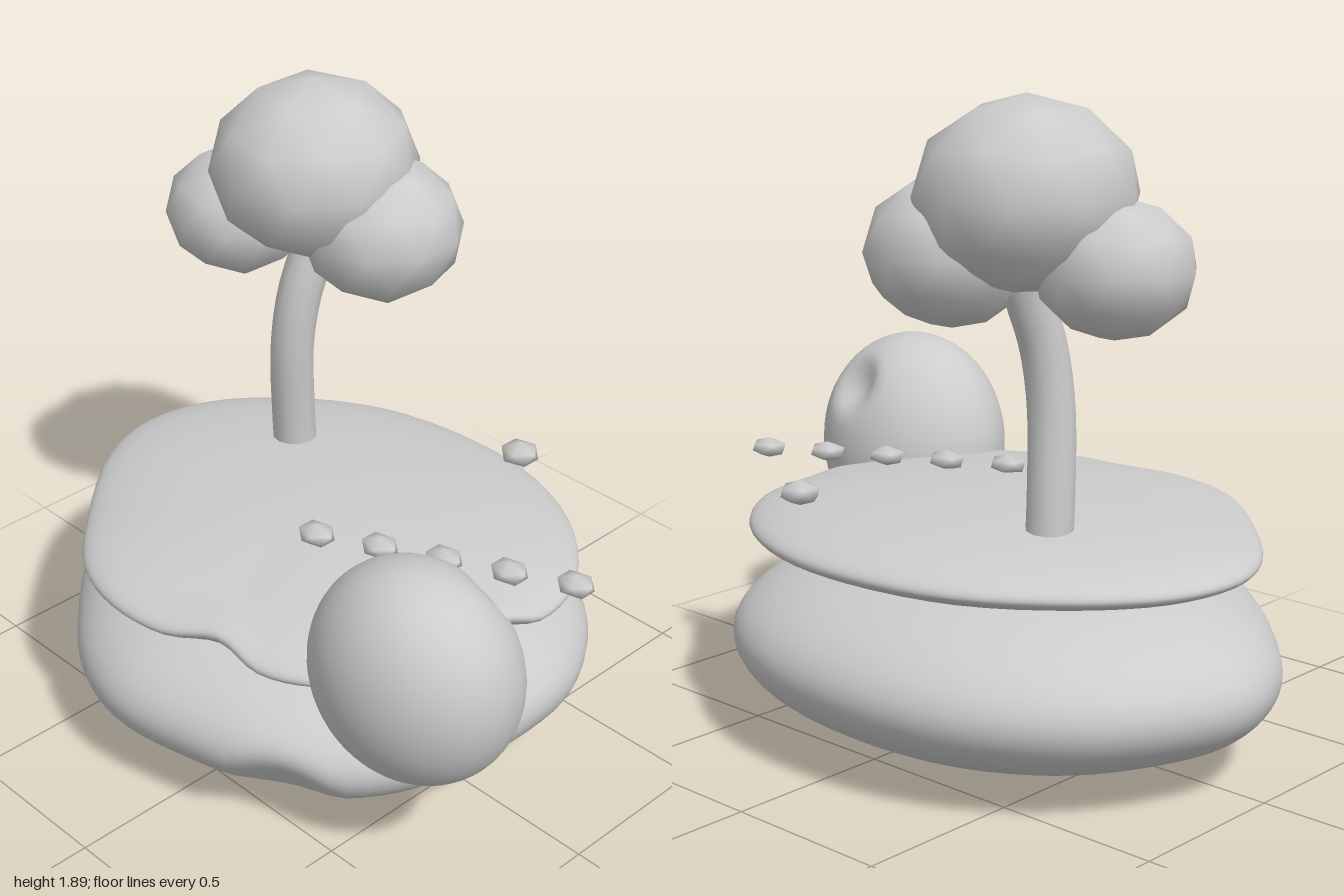
import * as THREE from 'three';
import { mergeVertices } from 'three/addons/utils/BufferGeometryUtils.js';

const stone = new THREE.MeshStandardMaterial({ color: 0xcccccc });
stone.name = 'pale grey';

function add(group, geometry, name, x = 0, y = 0, z = 0) {
  const mesh = new THREE.Mesh(geometry, stone);
  mesh.name = name;
  mesh.position.set(x, y, z);
  group.add(mesh);
  return mesh;
}

// Joins seams so that the shading is smooth all round.
function smooth(geometry) {
  geometry.deleteAttribute('normal');
  geometry.deleteAttribute('uv');
  const merged = mergeVertices(geometry, 1e-4);
  merged.computeVertexNormals();
  return merged;
}

// Pushes the surface in around a point: [x, y, z, radius, push x, push y, push z].
function dent(geometry, dents) {
  const pos = geometry.attributes.position;
  const p = new THREE.Vector3();
  for (let i = 0; i < pos.count; i++) {
    p.fromBufferAttribute(pos, i);
    for (const [x, y, z, r, dx, dy, dz] of dents) {
      const d = Math.hypot(p.x - x, p.y - y, p.z - z) / r;
      if (d < 1) p.addScaledVector(new THREE.Vector3(dx, dy, dz), (1 - d * d) ** 2);
    }
    pos.setXYZ(i, p.x, p.y, p.z);
  }
  return geometry;
}

// Flattened ellipsoid whose rim follows an outline of [x, z, rim lift].
// Outline order: left tip, front, right, back.
function slab(outline, centre, up, down, fullness) {
  const rim = new THREE.CatmullRomCurve3(
    outline.map(([x, z, lift = 0]) => new THREE.Vector3(x, lift, z)), true);
  const g = new THREE.SphereGeometry(1, 80, 40);
  const { position: pos, uv } = g.attributes;
  const p = new THREE.Vector3();
  for (let i = 0; i < pos.count; i++) {
    const c = pos.getY(i);
    const s = Math.sqrt(Math.max(0, 1 - c * c)) ** fullness;
    rim.getPoint(((uv.getX(i) % 1) + 1) % 1, p);
    pos.setXYZ(i,
      centre.x + (p.x - centre.x) * s,
      centre.y + c * (c > 0 ? up : down) + p.y * s ** 8,
      centre.z + (p.z - centre.z) * s);
  }
  return g;
}

// Icosahedral ball with a vertex at each pole.
function ball(detail, rx, ry, rz) {
  const g = new THREE.IcosahedronGeometry(1, detail);
  g.rotateZ(Math.atan(2 / (1 + Math.sqrt(5))));
  g.rotateY(Math.PI);
  g.scale(rx, ry, rz);
  return smooth(g);
}

export function createModel() {
  const model = new THREE.Group();
  model.name = 'floatingIsland';

  // Rounded rock underneath
  const base = slab([
    [-1, -0.06], [-0.95, 0.13], [-0.83, 0.3], [-0.6, 0.53], [-0.38, 0.69], [-0.12, 0.76],
    [0.17, 0.72], [0.4, 0.62], [0.58, 0.47], [0.7, 0.25], [0.755, 0], [0.71, -0.28],
    [0.53, -0.56], [0.23, -0.73], [-0.2, -0.77], [-0.53, -0.69], [-0.8, -0.5], [-0.96, -0.23],
  ], new THREE.Vector3(-0.13, 0.295, 0), 0.28, 0.29, 0.9);
  dent(base, [
    [0.38, 0.2, 0.6, 0.2, -0.02, 0.02, -0.04],
    [0.1, 0.15, 0.65, 0.4, 0, 0, -0.03],
    [0.68, 0.2, 0, 0.35, -0.03, 0, 0],
  ]);
  add(model, smooth(base), 'baseRock');

  // Lens-shaped ground with two lifted notches in its rim
  const ground = slab([
    [-0.9, 0], [-0.83, 0.2], [-0.6, 0.47], [-0.4, 0.64], [-0.2, 0.7], [0, 0.68],
    [0.16, 0.615, 0.03], [0.32, 0.61], [0.47, 0.54], [0.61, 0.36], [0.69, 0.12],
    [0.665, -0.02, 0.03], [0.7, -0.14], [0.66, -0.32], [0.48, -0.53], [0.22, -0.66],
    [-0.07, -0.69], [-0.42, -0.62], [-0.7, -0.43], [-0.86, -0.22],
  ], new THREE.Vector3(-0.09, 0.61, 0), 0.112, 0.1, 1);
  add(model, smooth(ground), 'ground');

  // Large egg-shaped boulder, leaning a little, with small dimples
  const boulder = new THREE.SphereGeometry(1, 48, 32);
  boulder.scale(0.32, 0.343, 0.268);
  const shear = new THREE.Matrix4().set(
    1, 0.05, 0, 0,
    0, 1, 0, 0,
    0, 0.07, 1, 0,
    0, 0, 0, 1);
  boulder.applyMatrix4(shear);
  dent(boulder, [
    [0.08, 0.2, -0.19, 0.12, -0.01, -0.03, 0.04],
    [0.01, -0.32, 0.06, 0.08, 0, 0.02, -0.015],
  ]);
  add(model, smooth(boulder), 'boulder', 0.68, 0.68, 0.357);

  // Tree: bent trunk and three leafy balls
  const tree = new THREE.Group();
  tree.name = 'tree';
  model.add(tree);
  const trunkPath = new THREE.CatmullRomCurve3([
    [-0.403, 0.66, -0.21], [-0.4, 0.8, -0.2], [-0.386, 1.05, -0.186],
    [-0.372, 1.22, -0.205], [-0.358, 1.36, -0.25], [-0.355, 1.48, -0.29],
  ].map((p) => new THREE.Vector3(...p)));
  add(tree, new THREE.TubeGeometry(trunkPath, 16, 0.068, 12), 'trunk');
  add(tree, ball(1, 0.31, 0.27, 0.315), 'topFoliage', -0.355, 1.63, -0.255);
  add(tree, ball(1, 0.225, 0.193, 0.22), 'rightFoliage', -0.585, 1.445, -0.16);
  add(tree, ball(1, 0.243, 0.215, 0.245), 'leftFoliage', -0.155, 1.47, -0.335);

  // Row of stepping pebbles and one apart
  for (let i = 0; i < 5; i++) {
    add(model, ball(0, 0.064, 0.031, 0.052), 'pebble', 0.08 + 0.172 * i, 0.735, 0.155 - 0.087 * i);
  }
  add(model, ball(0, 0.065, 0.037, 0.06), 'strayPebble', 0.222, 0.765, -0.563);

  return model;
}
